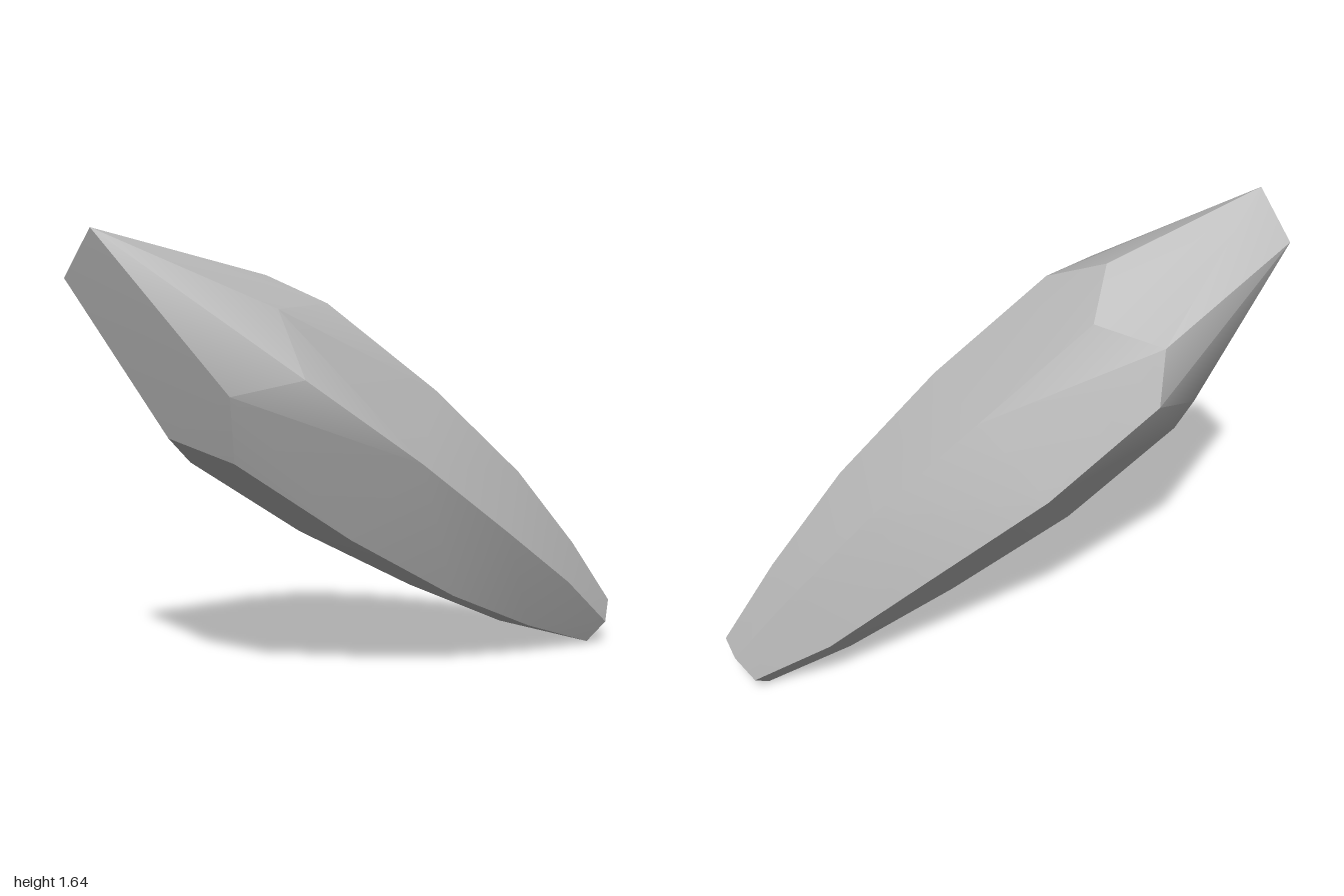
import * as THREE from 'three';
import { ConvexGeometry } from 'three/addons/geometries/ConvexGeometry.js';
import { toCreasedNormals } from 'three/addons/utils/BufferGeometryUtils.js';

const v = (p) => new THREE.Vector3(...p);

// Four neighbouring corners (A, B, C, F) of each hexagonal section, from the
// small foot to the shoulder; the other two mirror through the section centre.
const sections = [
  [[0.975, 0.10, -0.345], [1.0, 0.17, -0.425], [0.94, 0.16, -0.525], [0.905, 0.015, -0.36]],
  [[0.79, 0.31, -0.15], [0.83, 0.43, -0.31], [0.74, 0.40, -0.49], [0.64, 0.135, -0.17]],
  [[0.53, 0.55, 0.08], [0.59, 0.74, -0.15], [0.44, 0.72, -0.41], [0.33, 0.31, 0.05]],
  [[0.20, 0.84, 0.30], [0.26, 1.07, 0.03], [0.07, 1.04, -0.28], [-0.05, 0.565, 0.255]],
  [[-0.20, 1.15, 0.49], [-0.13, 1.39, 0.20], [-0.31, 1.35, -0.105], [-0.44, 0.865, 0.44]],
];

// Corners of the cut facets that lead up to the chisel-shaped tip.
const tip = [
  [-0.89, 1.645, 0.485], [-1.0, 1.48, 0.37],    // tip edge
  [-0.445, 1.10, 0.535], [-0.67, 0.94, 0.345],  // front facet
  [-0.345, 1.485, 0.105], [-0.56, 1.26, -0.09], // top facet
  [-0.68, 0.97, 0.08],                          // back facet
  [-0.29, 1.38, 0.43],                          // upper front shoulder
];

export function createModel() {
  const group = new THREE.Group();
  group.name = 'crystal';

  const stone = new THREE.MeshStandardMaterial({ color: 0xb8b8b8 });
  stone.name = 'grey stone';

  const points = tip.map(v);
  for (const section of sections) {
    const [a, b, c, f] = section.map(v);
    const sum = c.clone().add(f);
    points.push(a, b, c, f, sum.clone().sub(a), sum.clone().sub(b));
  }

  // Convex shard: soft along its length, sharp between its facets.
  const geometry = toCreasedNormals(new ConvexGeometry(points), 0.5);
  const shard = new THREE.Mesh(geometry, stone);
  shard.name = 'crystalShard';
  group.add(shard);
  return group;
}
